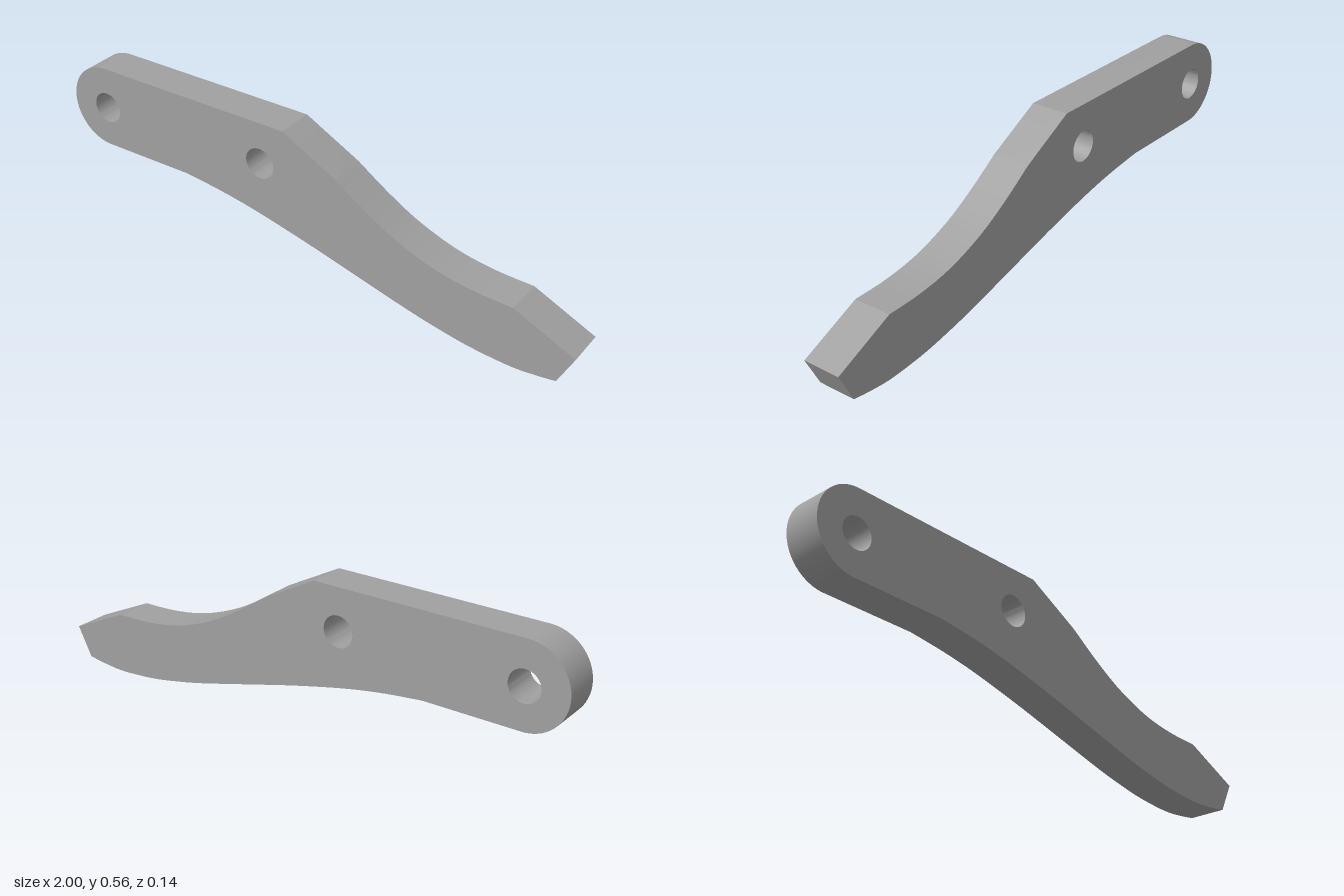
import * as THREE from 'three';
import { toCreasedNormals } from 'three/addons/utils/BufferGeometryUtils.js';

const THICKNESS = 0.138;
const points = (list) => list.map(([x, y]) => new THREE.Vector2(x, y));

export function createModel() {
  const grey = new THREE.MeshStandardMaterial({ color: 0xa0a0a0 });
  grey.name = 'plain grey';

  // Side outline, counter-clockwise from the lower end of the rounded head
  const outline = new THREE.Shape();
  outline.moveTo(-0.849, 0.258);
  outline.lineTo(-0.5, 0.258);
  // Underside sweeping down to the toe
  outline.splineThru(points([
    [-0.35, 0.24], [-0.2, 0.213], [0, 0.166], [0.2, 0.113], [0.4, 0.06],
    [0.52, 0.033], [0.64, 0.012], [0.78, 0.001], [0.87, 0.006], [0.945, 0.016],
  ]));
  // Blunt tip
  outline.lineTo(1, 0.124);
  outline.lineTo(0.78, 0.225);
  // Hollow upper edge rising to the shoulder
  outline.splineThru(points([
    [0.64, 0.231], [0.5, 0.255], [0.36, 0.306], [0.24, 0.372], [0.12, 0.452],
  ]));
  outline.lineTo(-0.085, 0.56);
  outline.lineTo(-0.849, 0.56);
  // Rounded head
  outline.absarc(-0.849, 0.409, 0.151, Math.PI / 2, Math.PI * 1.5, false);

  // Two pin holes
  for (const x of [-0.849, -0.18]) {
    const hole = new THREE.Path();
    hole.absarc(x, 0.407, 0.056, 0, Math.PI * 2, true);
    outline.holes.push(hole);
  }

  const geometry = new THREE.ExtrudeGeometry(outline, {
    depth: THICKNESS, bevelEnabled: false, curveSegments: 20,
  });
  geometry.translate(0, 0, -THICKNESS / 2);

  const lever = new THREE.Mesh(toCreasedNormals(geometry, 0.33), grey);
  lever.name = 'leverArm';

  const model = new THREE.Group();
  model.name = 'lever';
  model.add(lever);
  return model;
}
